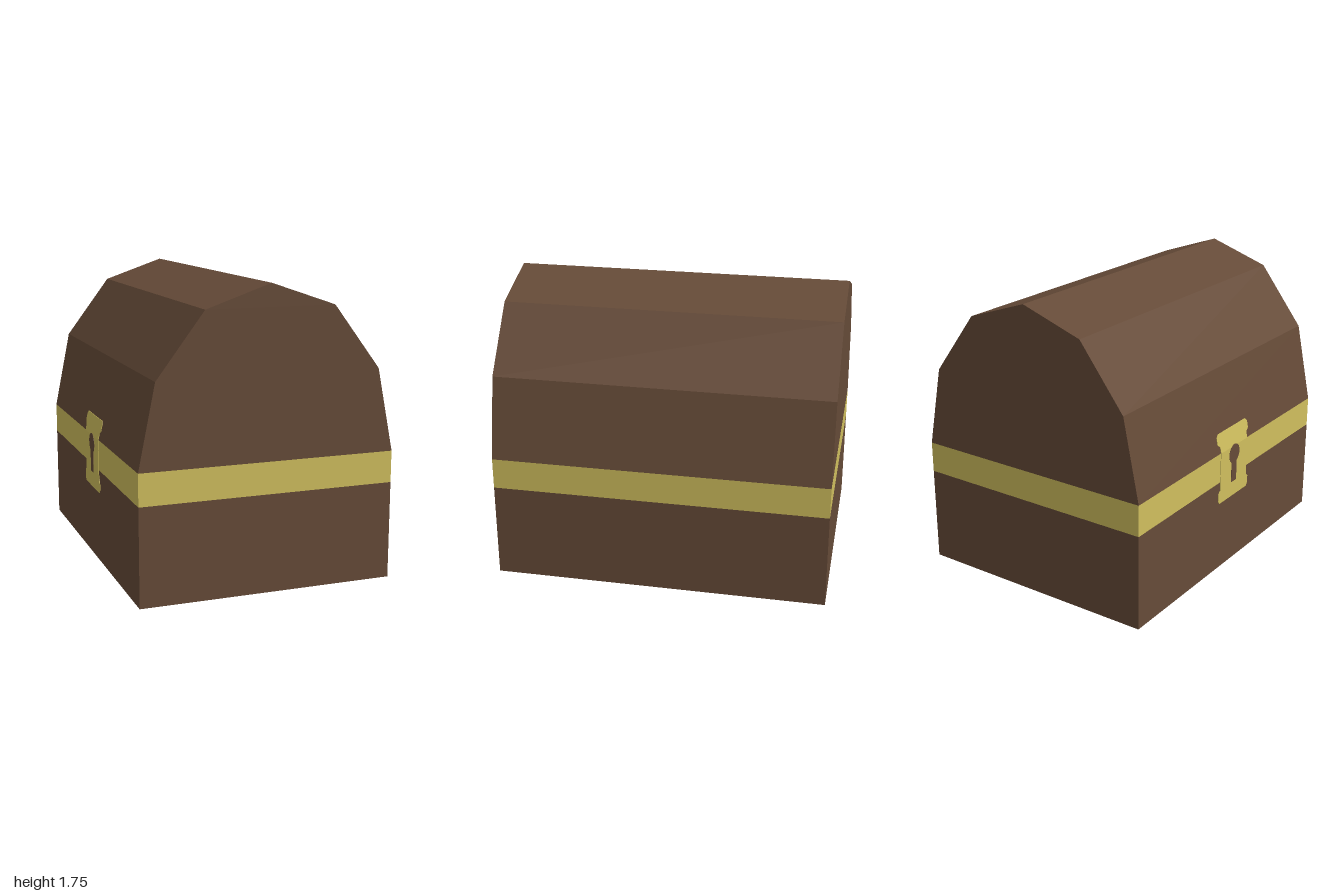
import * as THREE from 'three';

const W = 0.76, D = 1, BAND_LOW = 0.575, BAND_TOP = 0.762;

export function createModel() {
  const group = new THREE.Group();
  const wood = new THREE.MeshStandardMaterial({ color: 0x664b38, side: THREE.DoubleSide, flatShading: true });
  wood.name = 'brown wood';
  const brass = new THREE.MeshStandardMaterial({ color: 0xd0bf5e, side: THREE.DoubleSide, flatShading: true });
  brass.name = 'brass';

  const add = (name, geometry, material) => {
    const mesh = new THREE.Mesh(geometry, material);
    mesh.name = name;
    group.add(mesh);
    return mesh;
  };

  // Four upright walls without top or bottom
  const walls = (y0, y1) => {
    const r = Math.SQRT1_2;
    const ring = new THREE.CylinderGeometry(r, r, y1 - y0, 4, 1, true, Math.PI / 4);
    ring.scale(2 * W, 1, 2 * D).translate(0, (y0 + y1) / 2, 0);
    const geometry = ring.toNonIndexed();
    geometry.computeVertexNormals();
    return geometry;
  };
  add('baseWalls', walls(0, BAND_LOW), wood);
  add('band', walls(BAND_LOW, BAND_TOP), brass);

  // Hollow faceted lid: long panels and two end panels
  const half = [[W, BAND_TOP], [0.66, 1.25], [0.38, 1.62]];
  const profile = [...half, [0, 1.75], ...half.map(([x, y]) => [-x, y]).reverse()];
  const positions = [];
  for (let i = 0; i < profile.length - 1; i++) {
    const [ax, ay] = profile[i], [bx, by] = profile[i + 1];
    positions.push(ax, ay, D, ax, ay, -D, bx, by, -D);
    positions.push(ax, ay, D, bx, by, -D, bx, by, D);
  }
  const panels = new THREE.BufferGeometry();
  panels.setAttribute('position', new THREE.Float32BufferAttribute(positions, 3));
  panels.computeVertexNormals();
  add('lidPanels', panels, wood);

  const endShape = new THREE.Shape(profile.map(([x, y]) => new THREE.Vector2(x, y)));
  add('lidFrontEnd', new THREE.ShapeGeometry(endShape).translate(0, 0, D), wood);
  add('lidBackEnd', new THREE.ShapeGeometry(endShape).rotateY(Math.PI).translate(0, 0, -D), wood);

  // Thin plates in the left-hand wall, leaning with the lid above the band
  const lean = (W - 0.66) / (1.25 - BAND_TOP);
  const plate = (name, shape, depth, material) => {
    const geometry = new THREE.ExtrudeGeometry(shape, { depth, bevelEnabled: false, curveSegments: 10 });
    geometry.translate(0, 0, -depth / 2).rotateY(-Math.PI / 2).translate(-W, 0, 0.012);
    const p = geometry.attributes.position;
    for (let i = 0; i < p.count; i++) {
      p.setX(i, p.getX(i) + Math.max(0, p.getY(i) - BAND_TOP) * lean);
    }
    geometry.computeVertexNormals();
    add(name, geometry, material);
  };
  const mirrored = (pts) => new THREE.Shape(
    [...pts, ...pts.map(([z, y]) => [-z, y]).reverse()].map(([z, y]) => new THREE.Vector2(z, y)));

  plate('lockUpperPlate', mirrored(
    [[0.155, BAND_TOP], [0.155, 0.8], [0.18, 0.82], [0.18, 0.86], [0.16, 0.88]]), 0.006, brass);
  plate('lockLowerPlate', mirrored(
    [[0.16, 0.435], [0.175, 0.455], [0.175, 0.5], [0.155, 0.52], [0.155, BAND_TOP]]), 0.006, brass);

  // Keyhole: round head with a slot below
  const keyhole = new THREE.Shape();
  keyhole.moveTo(-0.03, 0.53);
  keyhole.lineTo(0.03, 0.53);
  keyhole.lineTo(0.03, 0.66);
  keyhole.absarc(0, 0.712, 0.06, -Math.PI / 3, Math.PI * 4 / 3, false);
  keyhole.closePath();
  plate('keyhole', keyhole, 0.0095, wood);

  return group;
}
